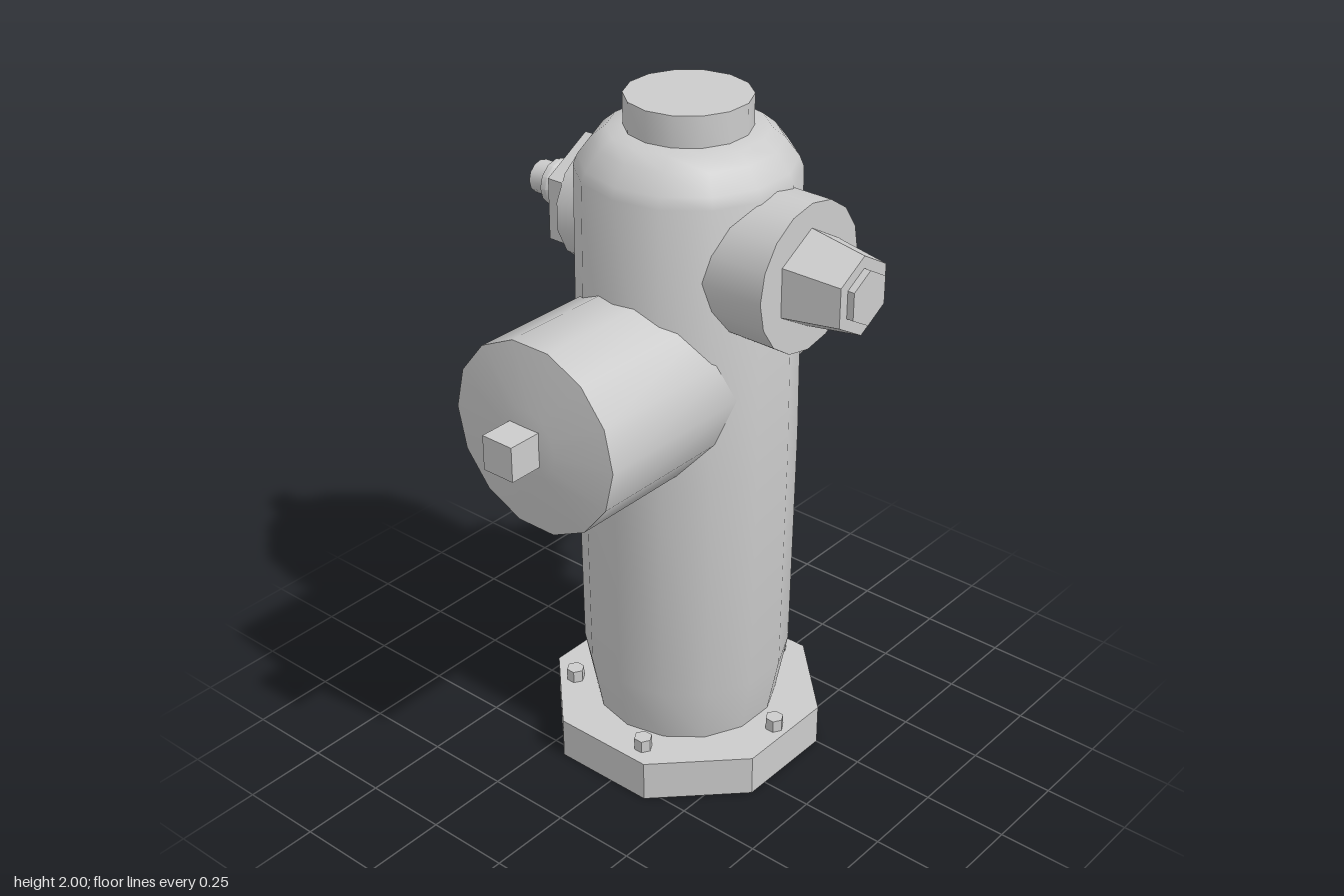
import * as THREE from 'three';
import { toCreasedNormals } from 'three/addons/utils/BufferGeometryUtils.js';

const CX = -0.03, CZ = -0.095; // vertical axis of the barrel
const material = new THREE.MeshStandardMaterial({ color: 0xcccccc, side: THREE.DoubleSide });

// Turned part: profile is a list of [distance along axis, radius]
function turned(name, profile, sides, start = Math.PI / 2) {
  const points = profile.map(([d, r]) => new THREE.Vector2(r, d));
  const geometry = new THREE.LatheGeometry(points, sides, start);
  const mesh = new THREE.Mesh(toCreasedNormals(geometry, 0.7), material);
  mesh.name = name;
  return mesh;
}

// Group whose local y axis points along the given direction
function outlet(name, direction, y, ...parts) {
  const group = new THREE.Group();
  group.name = name;
  group.position.set(CX, y, CZ);
  if (direction === '+x') group.rotation.z = -Math.PI / 2;
  if (direction === '-x') group.rotation.z = Math.PI / 2;
  if (direction === '+z') group.rotation.x = Math.PI / 2;
  if (direction === '-z') group.rotation.x = -Math.PI / 2;
  group.add(...parts);
  return group;
}

export function createModel() {
  const model = new THREE.Group();
  model.name = 'hydrant';

  // Upright column: hollow octagonal foot, barrel with rounded shoulder, top cap
  const column = outlet('column', '+y', 0,
    turned('baseFlange', [[0, 0.409], [0.125, 0.409], [0.125, 0.262]], 8, Math.PI / 8),
    turned('barrel', [[0.12, 0.268], [0.3, 0.302], [1.0, 0.309], [1.8, 0.302], [1.83, 0.29],
      [1.88, 0.252], [1.91, 0.215], [1.915, 0.16]], 14, 0),
    turned('topCap', [[1.9, 0.171], [2, 0.171], [2, 0]], 14, 0));

  // Five bolts around the foot
  for (let i = 0; i < 5; i++) {
    const a = (i * Math.PI * 2) / 5;
    const bolt = turned('baseBolt', [[0.12, 0.027], [0.163, 0.027], [0.163, 0]], 6);
    bolt.position.set(0.335 * Math.cos(a), 0, 0.335 * Math.sin(a));
    column.add(bolt);
  }
  model.add(column);

  // Large front outlet with shallow dome and square nut
  const nut = new THREE.Mesh(new THREE.BoxGeometry(0.1, 0.12, 0.1), material);
  nut.name = 'squareNut';
  nut.position.y = 0.685;
  model.add(outlet('frontOutlet', '+z', 1.245,
    turned('frontBarrel', [[0.02, 0.272], [0.615, 0.272], [0.645, 0.1], [0.65, 0]], 14),
    nut));

  // Left outlet with tapered hexagonal cap
  model.add(outlet('leftOutlet', '+x', 1.6,
    turned('leftCollar', [[0.1, 0.206], [0.405, 0.206], [0.405, 0]], 16),
    turned('hexCap', [[0.4, 0.139], [0.57, 0.111], [0.57, 0]], 6),
    turned('hexTip', [[0.56, 0.077], [0.59, 0.077], [0.59, 0]], 6)));

  // Right outlet with hexagonal plate and waisted stem
  model.add(outlet('rightOutlet', '-x', 1.625,
    turned('rightCollar', [[0.1, 0.181], [0.31, 0.181], [0.31, 0]], 14),
    turned('hexPlate', [[0.3, 0.176], [0.362, 0.176], [0.362, 0]], 6),
    turned('stem', [[0.355, 0.047], [0.425, 0.047], [0.457, 0.067], [0.475, 0.067],
      [0.487, 0.048], [0.535, 0.048], [0.535, 0]], 12)));

  // Rear outlet with hexagonal flange, cone, ring and tip
  model.add(outlet('rearOutlet', '-z', 1.24,
    turned('rearCollar', [[0.15, 0.19], [0.26, 0.177], [0.36, 0.16], [0.36, 0]], 14),
    turned('rearFlange', [[0.355, 0.15], [0.398, 0.15], [0.398, 0]], 6),
    turned('rearCone', [[0.39, 0.092], [0.505, 0.048], [0.505, 0]], 12),
    turned('rearRing', [[0.495, 0.04], [0.498, 0.058], [0.51, 0.065], [0.522, 0.058], [0.526, 0]], 12),
    turned('rearTip', [[0.52, 0.032], [0.555, 0.032], [0.555, 0]], 6)));

  return model;
}
